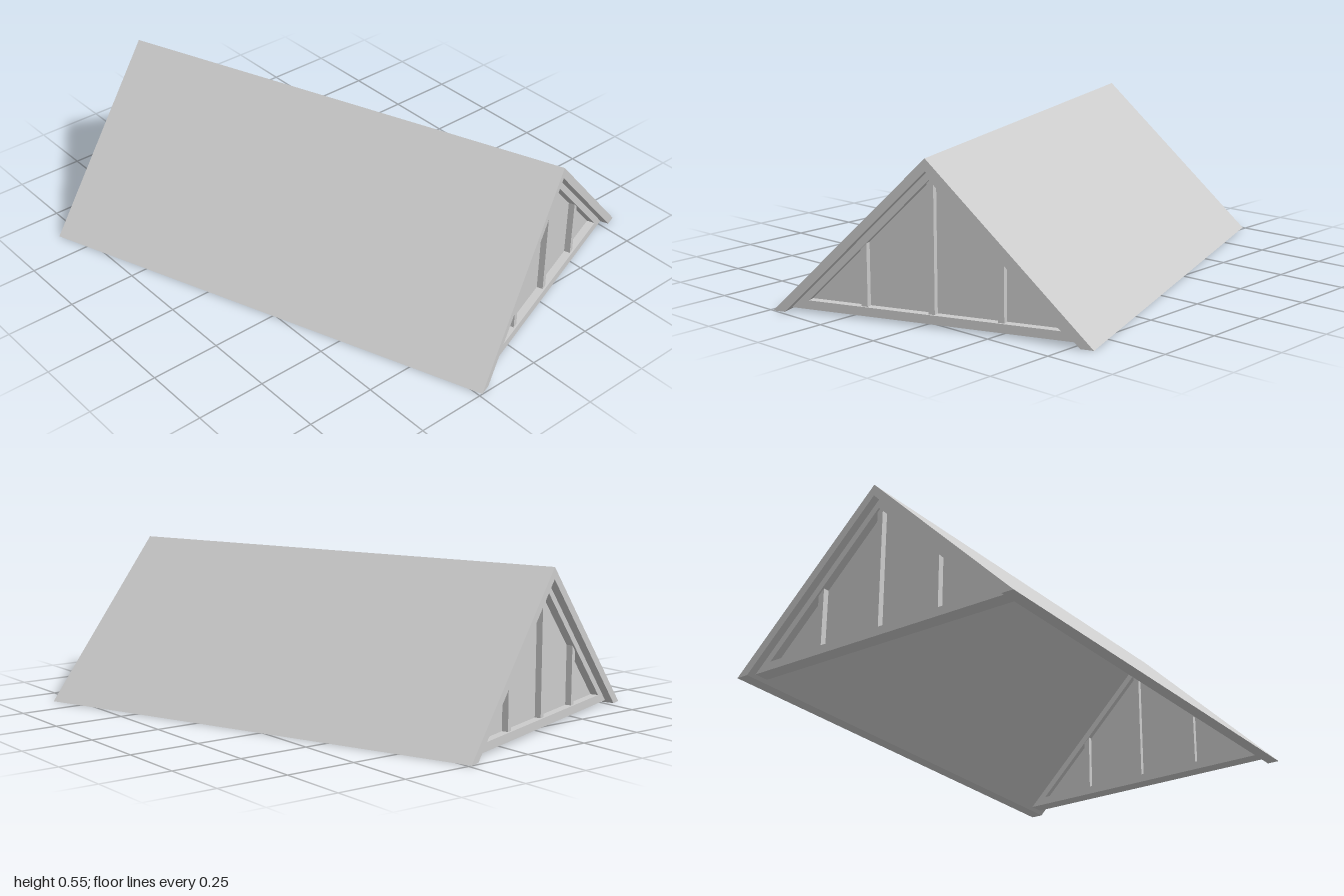
import * as THREE from 'three';

const HALF_W = 0.562, HEIGHT = 0.552, HALF_L = 0.86;
const material = new THREE.MeshStandardMaterial({ color: 0xcccccc, flatShading: true });

const shapeOf = (pts) => new THREE.Shape(pts.map(([x, y]) => new THREE.Vector2(x, y)));

// Extrudes an outline along z between two depths
function slab(name, shape, z0, z1) {
  const geo = new THREE.ExtrudeGeometry(shape, { depth: z1 - z0, bevelEnabled: false });
  geo.translate(0, 0, z0);
  const mesh = new THREE.Mesh(geo, material);
  mesh.name = name;
  return mesh;
}

// Recessed gable wall: triangular frame, thin panel and upright posts
function createGable(name) {
  const gable = new THREE.Group();
  gable.name = name;
  const inner = [[-0.443, 0.04], [0.443, 0.04], [0, 0.478]];

  const frame = shapeOf([[-0.507, 0.01], [0.507, 0.01], [0, 0.51]]);
  frame.holes.push(shapeOf(inner));
  gable.add(slab('gableFrame', frame, 0.778, 0.832));
  gable.add(slab('gablePanel', shapeOf(inner), 0.797, 0.803));

  for (const x of [-0.24, 0, 0.24]) {
    const w = 0.011;
    const top = (px) => 0.482 - Math.abs(px) * 0.993;
    const pts = [[x - w, 0.035], [x + w, 0.035], [x + w, top(x + w)]];
    if (x === 0) pts.push([0, top(0)]);
    pts.push([x - w, top(x - w)]);
    gable.add(slab('gablePost', shapeOf(pts), 0.78, 0.825));
  }
  return gable;
}

export function createModel() {
  const model = new THREE.Group();
  model.name = 'gableRoof';
  const body = new THREE.Group();
  body.name = 'roofBody';

  // Two sloping roof planes with level-cut eaves
  for (const s of [-1, 1]) {
    const outline = [[0, HEIGHT], [s * HALF_W, 0], [s * 0.518, 0], [0, 0.511]];
    body.add(slab(s > 0 ? 'leftRoofPlane' : 'rightRoofPlane', shapeOf(outline), -HALF_L, HALF_L));
  }

  // Matching gables at both ends
  const back = createGable('backGable');
  back.rotation.y = Math.PI;
  body.add(createGable('frontGable'), back);

  // The ridge runs at an angle to the z axis
  body.rotation.y = Math.atan2(0.29, 0.805);
  model.add(body);
  return model;
}
